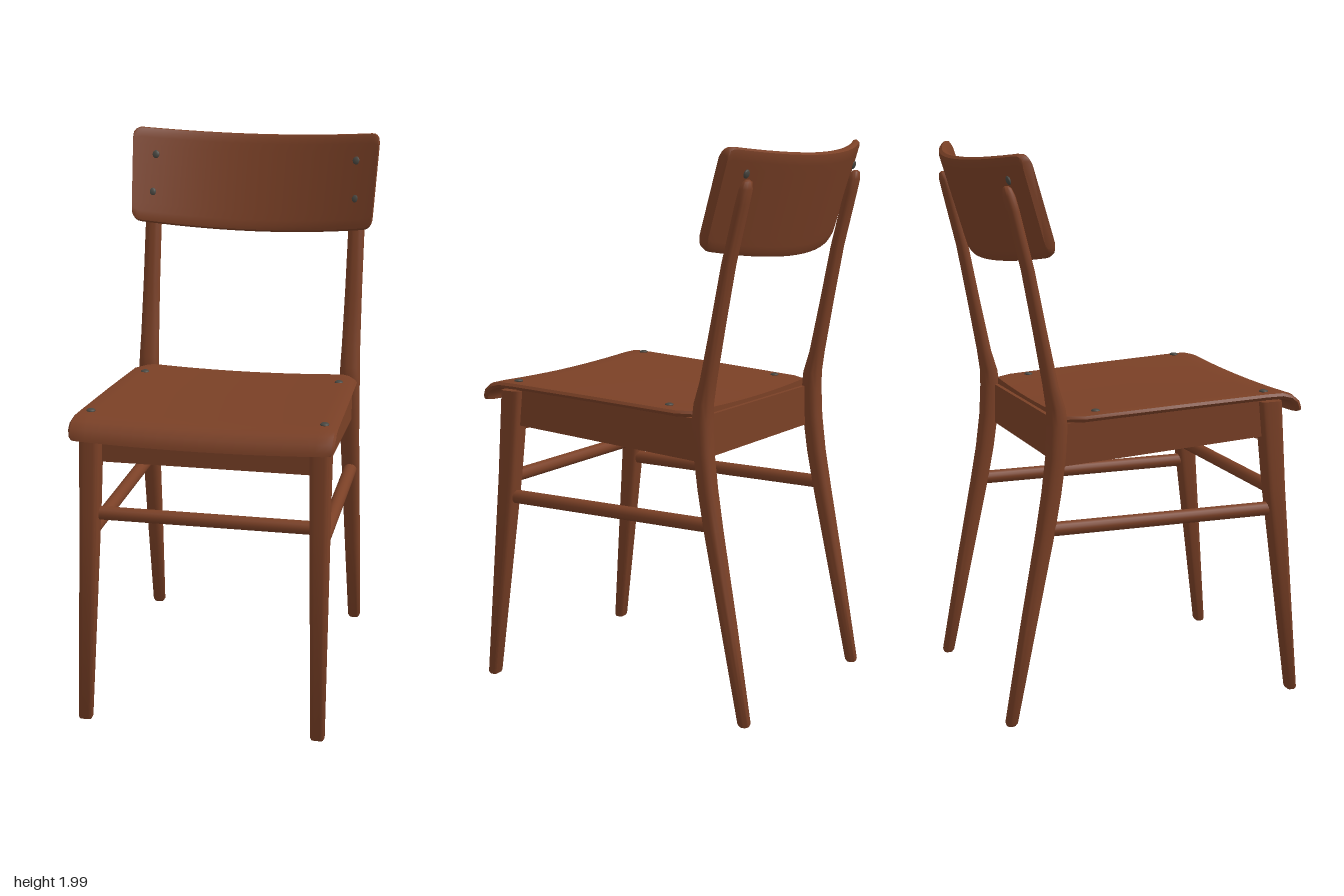
import * as THREE from 'three';
import { toCreasedNormals } from 'three/addons/utils/BufferGeometryUtils.js';

const wood = new THREE.MeshStandardMaterial({ color: 0x7a4026 });
wood.name = 'brown wood';
const metal = new THREE.MeshStandardMaterial({ color: 0x484640 });
metal.name = 'dark metal';

// Skin a list of closed rings ([x, y, z] points) and cap both ends.
function loft(rings, crease = 0.7) {
  const n = rings[0].length, pos = rings.flat(), idx = [];
  for (let r = 0; r < rings.length - 1; r++) {
    for (let i = 0; i < n; i++) {
      const a = r * n + i, b = r * n + (i + 1) % n;
      idx.push(a, b, b + n, a, b + n, a + n);
    }
  }
  [0, rings.length - 1].forEach((r, end) => {
    const c = [0, 1, 2].map(k => rings[r].reduce((s, p) => s + p[k], 0) / n);
    const ci = pos.push(c) - 1;
    for (let i = 0; i < n; i++) {
      const a = r * n + i, b = r * n + (i + 1) % n;
      if (end) idx.push(ci, a, b); else idx.push(ci, b, a);
    }
  });
  // Turn the faces outward if the enclosed volume is negative
  const v = pos.map(p => new THREE.Vector3(...p));
  let volume = 0;
  for (let i = 0; i < idx.length; i += 3) {
    volume += v[idx[i]].dot(v[idx[i + 1]].clone().cross(v[idx[i + 2]]));
  }
  if (volume < 0) idx.reverse();
  const g = new THREE.BufferGeometry();
  g.setAttribute('position', new THREE.Float32BufferAttribute(pos.flat(), 3));
  g.setIndex(idx);
  return toCreasedNormals(g, crease);
}

// Horizontal rounded-square ring; e = 1 is an ellipse, smaller is squarer.
function legRing([x, y, z, hx, hz], e) {
  const f = t => Math.sign(t) * Math.abs(t) ** e;
  return Array.from({ length: 20 }, (_, i) => {
    const a = (i + 0.5) / 20 * Math.PI * 2;
    return [x + hx * f(Math.cos(a)), y, z + hz * f(Math.sin(a))];
  });
}

// Flat section with softened ends: [u along -1..1, k across -1..1]
function slabSection(n, p) {
  return Array.from({ length: n }, (_, i) => {
    const a = i / n * Math.PI * 2, u = Math.cos(a);
    return [u, Math.sign(Math.sin(a)) * Math.sqrt(Math.max(0, 1 - Math.abs(u) ** p))];
  });
}

// Rectangle ring in the xy plane at depth z
const boxRing = (x0, x1, y0, y1, z) => [[x0, y0, z], [x1, y0, z], [x1, y1, z], [x0, y1, z]];

export function createModel() {
  const chair = new THREE.Group();
  chair.name = 'chair';
  const add = (name, geometry, material = wood) => {
    const m = new THREE.Mesh(geometry, material);
    m.name = name;
    chair.add(m);
    return m;
  };
  const rod = (name, a, b, r) => {
    const from = new THREE.Vector3(...a), to = new THREE.Vector3(...b);
    const m = add(name, new THREE.CylinderGeometry(r, r, from.distanceTo(to), 16));
    m.position.copy(from).add(to).multiplyScalar(0.5);
    m.quaternion.setFromUnitVectors(new THREE.Vector3(0, 1, 0), to.sub(from).normalize());
  };

  // Seat: dished slab following a side path that rolls over at the front
  const seatPath = [ // z, y, half width, pitch
    [-0.305, 1.079, 0.4, 0], [-0.24, 1.082, 0.436, 0], [0.1, 1.1, 0.449, 0],
    [0.44, 1.116, 0.46, 0], [0.5, 1.117, 0.463, 0.1], [0.535, 1.108, 0.465, 0.5],
    [0.557, 1.09, 0.464, 0.95], [0.566, 1.068, 0.46, 1.25], [0.568, 1.058, 0.453, 1.4],
  ];
  add('seat', loft(seatPath.map(([z, y, w, pitch]) =>
    slabSection(36, 40).map(([u, k]) => [
      u * w,
      y + k * 0.015 * Math.cos(pitch) - 0.012 * (1 - u * u),
      z + k * 0.015 * Math.sin(pitch),
    ]))));

  // Backrest: leaning board, bowed backwards, with rounded corners
  const lean = 0.296, cl = Math.cos(lean), sl = Math.sin(lean), R = 0.03, half = 0.475;
  const onBack = (x, v, w) => {
    const depth = 0.112 * (1 - (x / half) ** 2) + w;
    return [x, 1.825 + v * cl - depth * sl, -0.395 - v * sl - depth * cl];
  };
  const stations = [-1, -0.995, -0.98, -0.96, -0.935];
  for (let i = -8; i <= 8; i++) stations.push(i / 9);
  stations.push(0.935, 0.96, 0.98, 0.995, 1);
  add('backrest', loft(stations.map(s => {
    const d = Math.max(0, R - half * (1 - Math.abs(s)));
    const trim = R - Math.sqrt(R * R - d * d);
    const top = 0.182 - trim, bottom = -0.194 + 0.014 * s * s + trim;
    return slabSection(28, 30).map(([u, k]) => {
      const v = (top + bottom) / 2 + u * (top - bottom) / 2;
      const p = onBack(s * half, v, 0.0175 + k * 0.0175);
      p[0] *= 0.985 + 0.08 * v; // slightly wider at the top
      return p;
    });
  })));

  // Aprons across the front and back
  [['frontApron', 0.45, 0.95, 1.095], ['backApron', -0.305, 0.918, 1.068]].forEach(([name, z, y0, y1]) => {
    const m = add(name, new THREE.BoxGeometry(0.76, y1 - y0, 0.03));
    m.position.set(0, (y0 + y1) / 2, z);
  });
  rod('frontStretcher', [-0.4, 0.767, 0.49], [0.4, 0.767, 0.49], 0.024);

  const screw = (name, x, y, z, tilt) => {
    const m = add(name, new THREE.SphereGeometry(0.016, 14, 10), metal);
    m.position.set(x, y, z);
    m.scale.y = 0.45;
    m.rotation.x = tilt;
  };

  [['left', 1], ['right', -1]].forEach(([side, s]) => {
    // Tapered front leg
    const front = [ // x, y, z, half x, half z
      [0.424, 0, 0.57, 0.021, 0.014], [0.424, 0.008, 0.57, 0.025, 0.018],
      [0.41, 0.77, 0.493, 0.035, 0.037], [0.406, 1.095, 0.467, 0.039, 0.043],
    ];
    add(side + 'FrontLeg', loft(front.map(([x, ...r]) => legRing([s * x, ...r], 0.45))));

    // Back leg bends at the seat and runs up behind the backrest
    const back = [
      [0.412, 0, -0.512, 0.018, 0.016], [0.412, 0.01, -0.51, 0.024, 0.021],
      [0.407, 0.35, -0.444, 0.03, 0.027], [0.402, 0.68, -0.378, 0.034, 0.032],
      [0.399, 0.82, -0.353, 0.036, 0.033], [0.398, 0.95, -0.336, 0.037, 0.034],
      [0.397, 1.06, -0.33, 0.038, 0.035], [0.396, 1.12, -0.334, 0.037, 0.032],
      [0.396, 1.2, -0.352, 0.035, 0.025], [0.396, 1.4, -0.391, 0.032, 0.022],
      [0.396, 1.6, -0.43, 0.031, 0.021], [0.396, 1.8, -0.48, 0.03, 0.021],
      [0.396, 1.85, -0.493, 0.028, 0.02], [0.396, 1.875, -0.499, 0.019, 0.014],
      [0.396, 1.882, -0.5, 0.008, 0.006],
    ];
    add(side + 'BackLeg', loft(back.map(([x, ...r]) => legRing([s * x, ...r], 0.8)), 1));

    // Tapering side apron
    add(side + 'Apron', loft([
      boxRing(s * 0.385, s * 0.42, 0.967, 1.1, 0.45),
      boxRing(s * 0.375, s * 0.41, 0.916, 1.066, -0.32),
    ]));
    rod(side + 'Stretcher', [s * 0.41, 0.695, 0.49], [s * 0.403, 0.695, -0.37], 0.025);

    // Screws in the seat, the face of the backrest and its rear
    screw('seatScrew', s * 0.413, 1.13, 0.445, 0.05);
    screw('seatScrew', s * 0.375, 1.097, -0.18, 0.05);
    [0.078, -0.066].forEach((v, i) => {
      screw('backrestScrew', ...onBack(s * (0.39 + i * 0.005), v, 0), Math.PI / 2 - lean);
    });
    screw('backrestRearScrew', ...onBack(s * 0.39, 0.1, 0.035), Math.PI / 2 - lean);
  });

  return chair;
}
